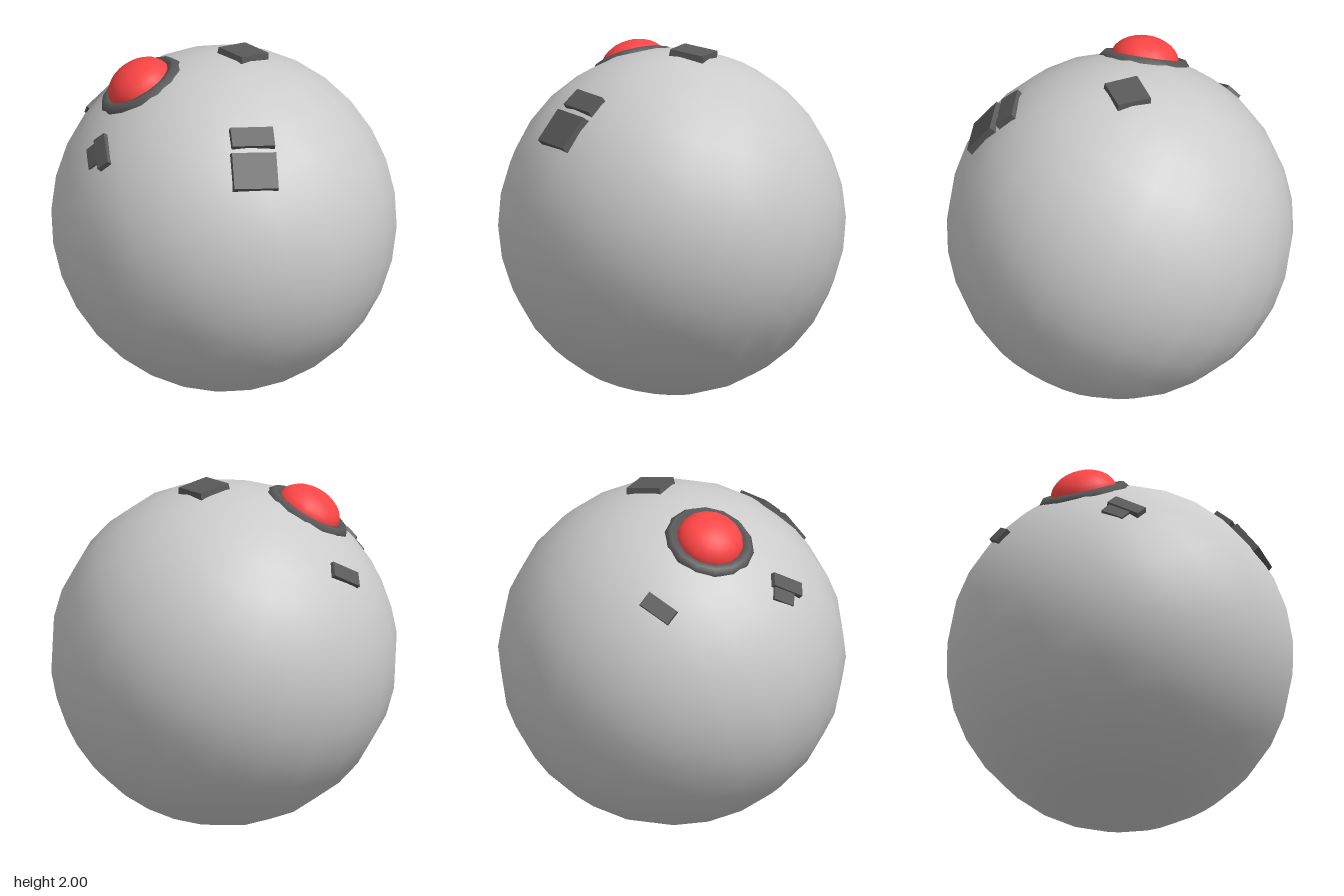
import * as THREE from 'three';

const R = 0.99;
const grey = new THREE.MeshStandardMaterial({ color: 0xcccccc });
const dark = new THREE.MeshStandardMaterial({ color: 0x5a5a5a });
const darkFlat = new THREE.MeshStandardMaterial({ color: 0x5a5a5a, flatShading: true });
const red = new THREE.MeshStandardMaterial({ color: 0xff4545 });
const V = (a) => new THREE.Vector3(...a);

// Mesh whose local y axis points along the given direction
function alongY(name, geometry, material, dir) {
  const mesh = new THREE.Mesh(geometry, material);
  mesh.name = name;
  mesh.quaternion.setFromUnitVectors(new THREE.Vector3(0, 1, 0), V(dir).normalize());
  return mesh;
}

// Slightly tapered slab set into the ball: local x along "axis", local y outward
function plate(name, dir, axis, length, width, top = 1.005) {
  const depth = 0.08;
  const g = new THREE.BoxGeometry(length, depth, width);
  const p = g.attributes.position;
  for (let i = 0; i < p.count; i++) {
    if (p.getY(i) > 0) p.setXYZ(i, p.getX(i) * 0.95, p.getY(i), p.getZ(i) * 0.93);
  }
  g.computeVertexNormals();
  const n = V(dir).normalize();
  const x = V(axis).projectOnPlane(n).normalize();
  const z = new THREE.Vector3().crossVectors(x, n);
  const mesh = new THREE.Mesh(g, darkFlat);
  mesh.name = name;
  mesh.quaternion.setFromRotationMatrix(new THREE.Matrix4().makeBasis(x, n, z));
  mesh.position.copy(n).multiplyScalar(top - depth / 2);
  return mesh;
}

export function createModel() {
  const model = new THREE.Group();
  const ball = new THREE.Group();
  ball.name = 'ball';
  ball.position.y = R;
  model.add(ball);

  // Smooth, coarse ball with a tilted pole
  ball.add(alongY('body', new THREE.SphereGeometry(R, 22, 16), grey, [-0.48, 0.87, 0.06]));

  // Eye: bevelled collar and flattened dome
  const eyeDir = [-0.285, 0.86, 0.405];
  const profile = [[0.25, 0.9], [0.262, 0.95], [0.235, 0.985], [0.19, 0.975], [0.18, 0.92]];
  const collar = new THREE.LatheGeometry(profile.map(([r, y]) => new THREE.Vector2(r, y)), 14);
  ball.add(alongY('eyeCollar', collar, dark, eyeDir));
  const domeGeo = new THREE.SphereGeometry(0.195, 16, 8, 0, Math.PI * 2, 0, Math.PI / 2);
  domeGeo.scale(1, 0.7, 1).translate(0, 0.96, 0);
  ball.add(alongY('eyeDome', domeGeo, red, eyeDir));

  // Small plates on the surface
  ball.add(
    plate('topPlate', [0, 0.99, -0.14], [1, 0, -0.08], 0.21, 0.22, 1.012),
    plate('leftUpperPlate', [0.59, 0.76, 0.25], [-0.46, 0.03, 0.88], 0.26, 0.13),
    plate('leftLowerPlate', [0.71, 0.61, 0.325], [-0.46, 0.05, 0.88], 0.27, 0.23),
    plate('frontLongPlate', [-0.1, 0.575, 0.79], [0.17, -0.11, 0.1], 0.22, 0.09),
    plate('frontShortPlate', [-0.165, 0.535, 0.81], [0.17, -0.11, 0.1], 0.15, 0.09, 0.995),
    plate('rightPlate', [-0.755, 0.57, 0.32], [0.02, -0.11, 0.19], 0.21, 0.1),
  );
  return model;
}
